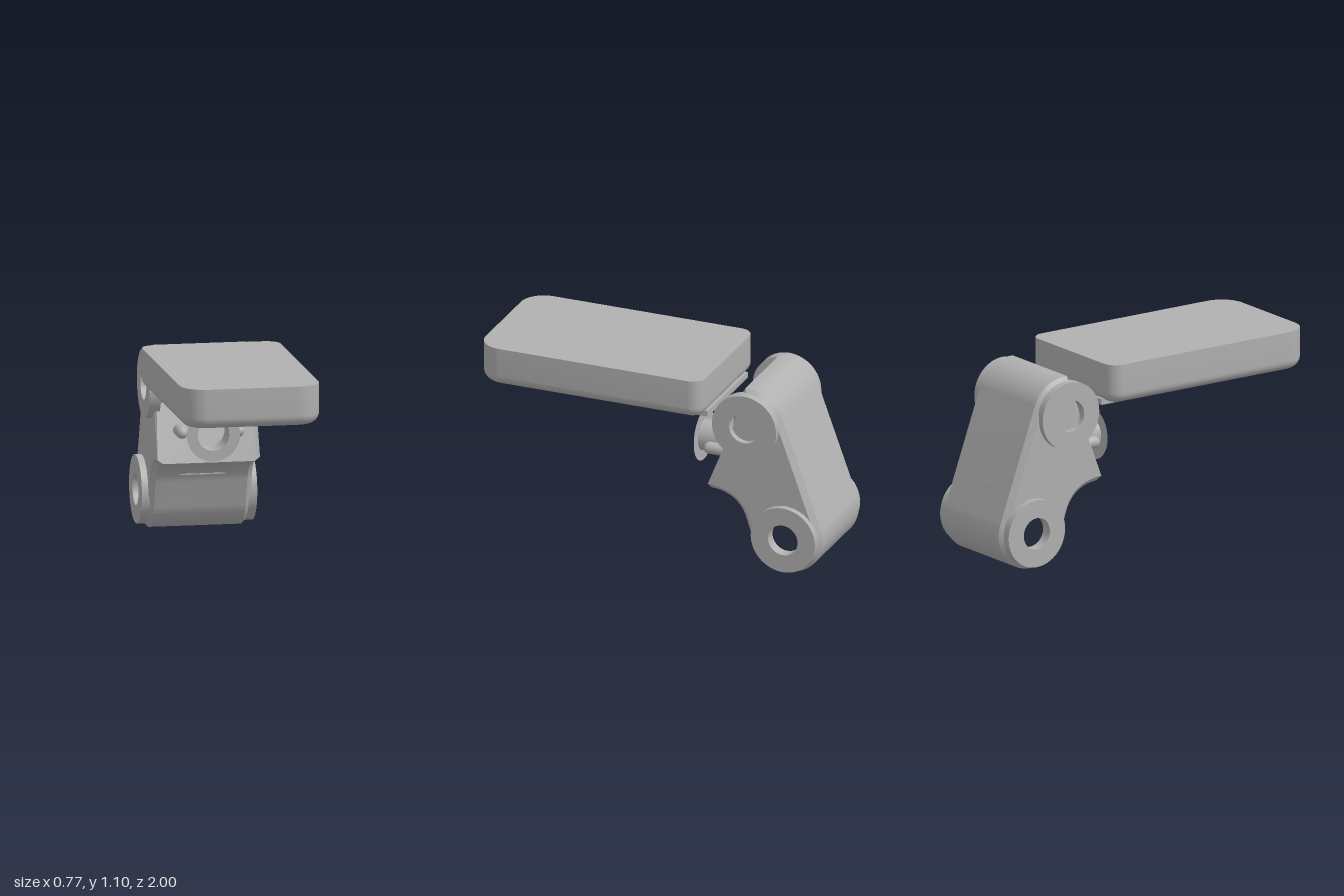
import * as THREE from 'three';
import { toCreasedNormals } from 'three/addons/utils/BufferGeometryUtils.js';

const grey = new THREE.MeshStandardMaterial({ color: 0xb0b0b0 });
grey.name = 'grey';
const greyOpen = new THREE.MeshStandardMaterial({ color: 0xb0b0b0, side: THREE.DoubleSide });
greyOpen.name = 'grey thin';

// Joint axes, as [z, y]
const joints = [[-0.56, 0.84], [-0.79, 0.21]];
const holeRadius = 0.088;

function circlePath(x, y, r) {
  return new THREE.Path().absarc(x, y, r, 0, Math.PI * 2, true);
}

// Flatten everything below a limit on one axis, which squares off a bevel there
function clampMin(geometry, axis, limit) {
  const p = geometry.attributes.position;
  for (let i = 0; i < p.count; i++) {
    p.setComponent(i, axis, Math.max(limit, p.getComponent(i, axis)));
  }
  return geometry;
}

export function createModel() {
  const model = new THREE.Group();
  model.name = 'hingedBracket';
  const add = (name, geometry, material = grey) => {
    const mesh = new THREE.Mesh(geometry, material);
    mesh.name = name;
    model.add(mesh);
    return mesh;
  };

  // Platform: rounded plan, filleted lower edge, flat top
  const f = 0.06, w = 0.385 - f, back = -0.33 + f, front = 1 - f, rf = 0.075, rb = 0.02;
  const plan = new THREE.Shape();
  plan.moveTo(-w + rb, back);
  plan.lineTo(w - rb, back);
  plan.absarc(w - rb, back + rb, rb, -Math.PI / 2, 0);
  plan.absarc(w - rf, front - rf, rf, 0, Math.PI / 2);
  plan.absarc(-w + rf, front - rf, rf, Math.PI / 2, Math.PI);
  plan.absarc(-w + rb, back + rb, rb, Math.PI, Math.PI * 1.5);
  let platform = new THREE.ExtrudeGeometry(plan, {
    depth: 0.163, bevelSize: f, bevelThickness: f, bevelSegments: 8, curveSegments: 12,
  });
  clampMin(platform, 2, 0);
  platform = toCreasedNormals(platform, 0.6);
  platform.rotateX(Math.PI / 2).translate(0, 1.097, 0);
  add('platform', platform);

  // Thin pad under the platform, with a sloping front edge
  const padSide = new THREE.Shape([[0.33, 0.89], [-0.25, 0.89], [-0.23, 0.857], [0.33, 0.857]]
    .map(([u, v]) => new THREE.Vector2(u, v)));
  const pad = new THREE.ExtrudeGeometry(padSide, { depth: 0.57, bevelEnabled: false });
  pad.translate(0, 0, -0.285).rotateY(Math.PI / 2);
  add('platformPad', pad);

  // Arm: side profile in (-z, y), chamfered except at the flat front face
  const c = 0.03, r = 0.18;
  const side = new THREE.Shape();
  side.moveTo(0.33, 1.02);
  side.absarc(0.56, 0.84, r, Math.PI / 2, 0.35, true);
  side.absarc(0.79, 0.21, r, 0.35, -Math.PI * 0.89, true);
  side.lineTo(0.575, 0.29);
  side.quadraticCurveTo(0.52, 0.45, 0.33, 0.455);
  side.closePath();
  joints.forEach(([z, y]) => side.holes.push(circlePath(-z, y, holeRadius + c)));
  let arm = new THREE.ExtrudeGeometry(side, {
    depth: 0.57 - 2 * c, bevelSize: c, bevelThickness: c, bevelSegments: 1, curveSegments: 32,
  });
  clampMin(arm, 0, 0.33);
  arm = toCreasedNormals(arm, 0.5);
  arm.translate(0, 0, c - 0.285).rotateY(Math.PI / 2);
  add('arm', arm);

  // Pivot washers on both sides of each joint
  const ring = new THREE.Shape().absarc(0, 0, 0.19, 0, Math.PI * 2);
  ring.holes.push(circlePath(0, 0, holeRadius));
  const washer = toCreasedNormals(new THREE.ExtrudeGeometry(ring, {
    depth: 0.065, bevelEnabled: false, curveSegments: 48,
  }), 0.5);
  washer.translate(0, 0, -0.0325).rotateY(Math.PI / 2);
  for (const [z, y] of joints) {
    for (const s of [-1, 1]) {
      add('pivotWasher', washer).position.set(s * 0.2885, y, z);
    }
  }

  // Front socket: open bore with a thin flange at its mouth
  const bore = new THREE.CylinderGeometry(holeRadius, holeRadius, 0.14, 48, 1, true);
  bore.rotateX(Math.PI / 2);
  add('socketBore', bore, greyOpen).position.set(0, 0.612, -0.26);
  add('socketFlange', new THREE.RingGeometry(holeRadius, 0.148, 64), greyOpen)
    .position.set(0, 0.612, -0.19);

  // Round-ended locating pegs
  const peg = new THREE.CapsuleGeometry(0.034, 0.08, 8, 20);
  peg.rotateX(Math.PI / 2);
  for (const s of [-1, 1]) {
    add('locatingPeg', peg).position.set(s * 0.157, 0.612, -0.329);
  }

  // Fine seams across the front curve and the back slope
  add('frontSeam', new THREE.BoxGeometry(0.25, 0.005, 0.03)).position.set(0, 0.335, -0.525);
  const seam = add('backSeam', new THREE.BoxGeometry(0.25, 0.006, 0.008));
  seam.position.set(0, 0.465, -0.92);
  seam.rotation.x = 0.35;

  return model;
}
